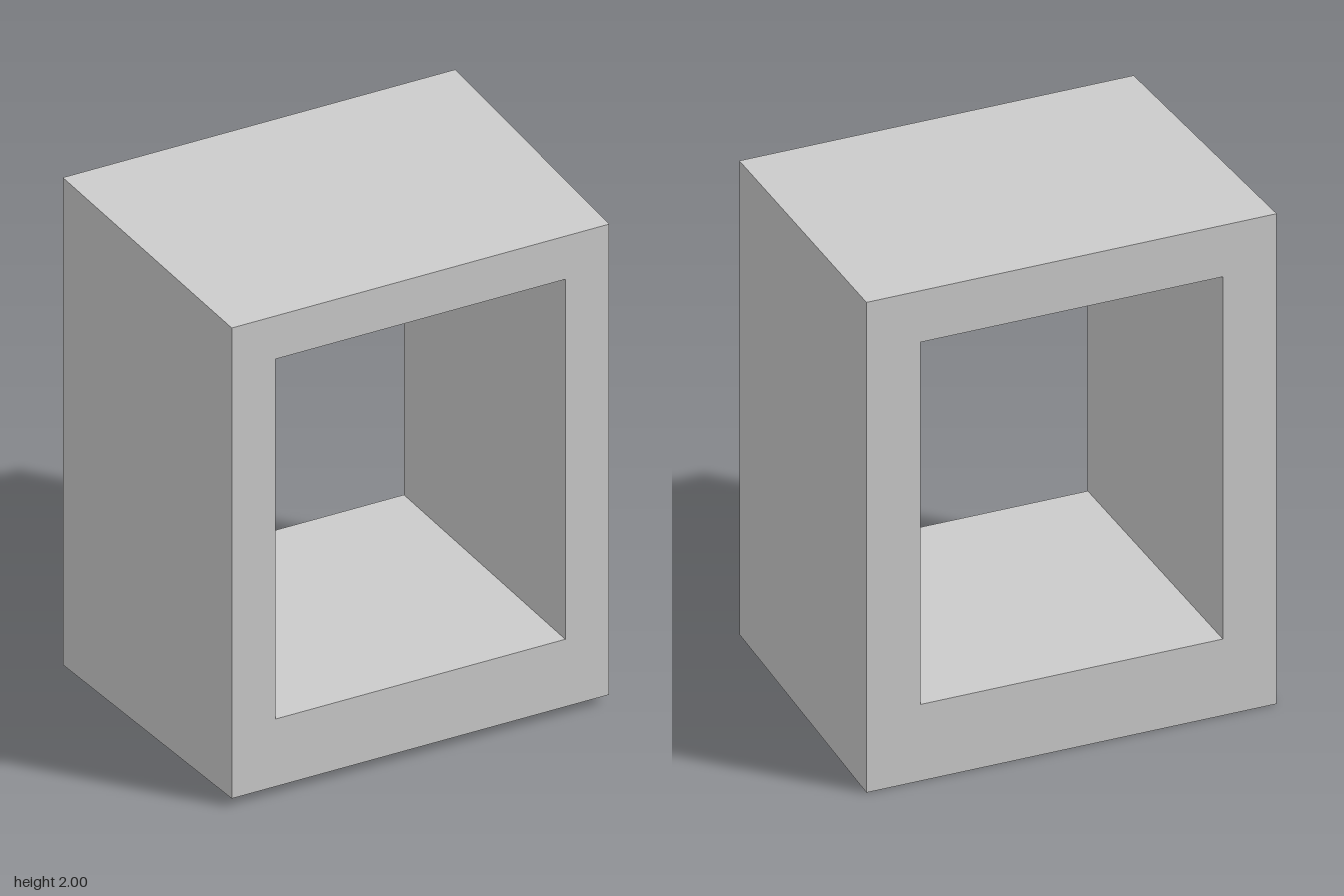
import * as THREE from 'three';

const HALF_DEPTH = 0.593;

// Rectangle outline from opposite corners
function rectangle(Type, x, y0, y1) {
  return new Type([[-x, y0], [x, y0], [x, y1], [-x, y1]].map(([a, b]) => new THREE.Vector2(a, b)));
}

export function createModel() {
  const group = new THREE.Group();
  group.name = 'openFrame';

  // Deep frame with a straight rectangular opening
  const outline = rectangle(THREE.Shape, 0.8, 0, 2);
  outline.holes.push(rectangle(THREE.Path, 0.59, 0.312, 1.79));
  const geometry = new THREE.ExtrudeGeometry(outline, { depth: 2 * HALF_DEPTH, bevelEnabled: false });
  geometry.translate(0, 0, -HALF_DEPTH);

  // Taper only the outer shell towards the front
  const p = geometry.attributes.position;
  for (let i = 0; i < p.count; i++) {
    if (p.getZ(i) > 0 && Math.abs(p.getX(i)) > 0.7) {
      p.setX(i, Math.sign(p.getX(i)) * 0.769);
      p.setY(i, p.getY(i) > 1 ? 1.967 : 0.035);
    }
  }
  geometry.computeVertexNormals();

  const frame = new THREE.Mesh(geometry, new THREE.MeshStandardMaterial({ color: 0xcccccc, flatShading: true }));
  frame.name = 'taperedFrame';
  group.add(frame);
  return group;
}
